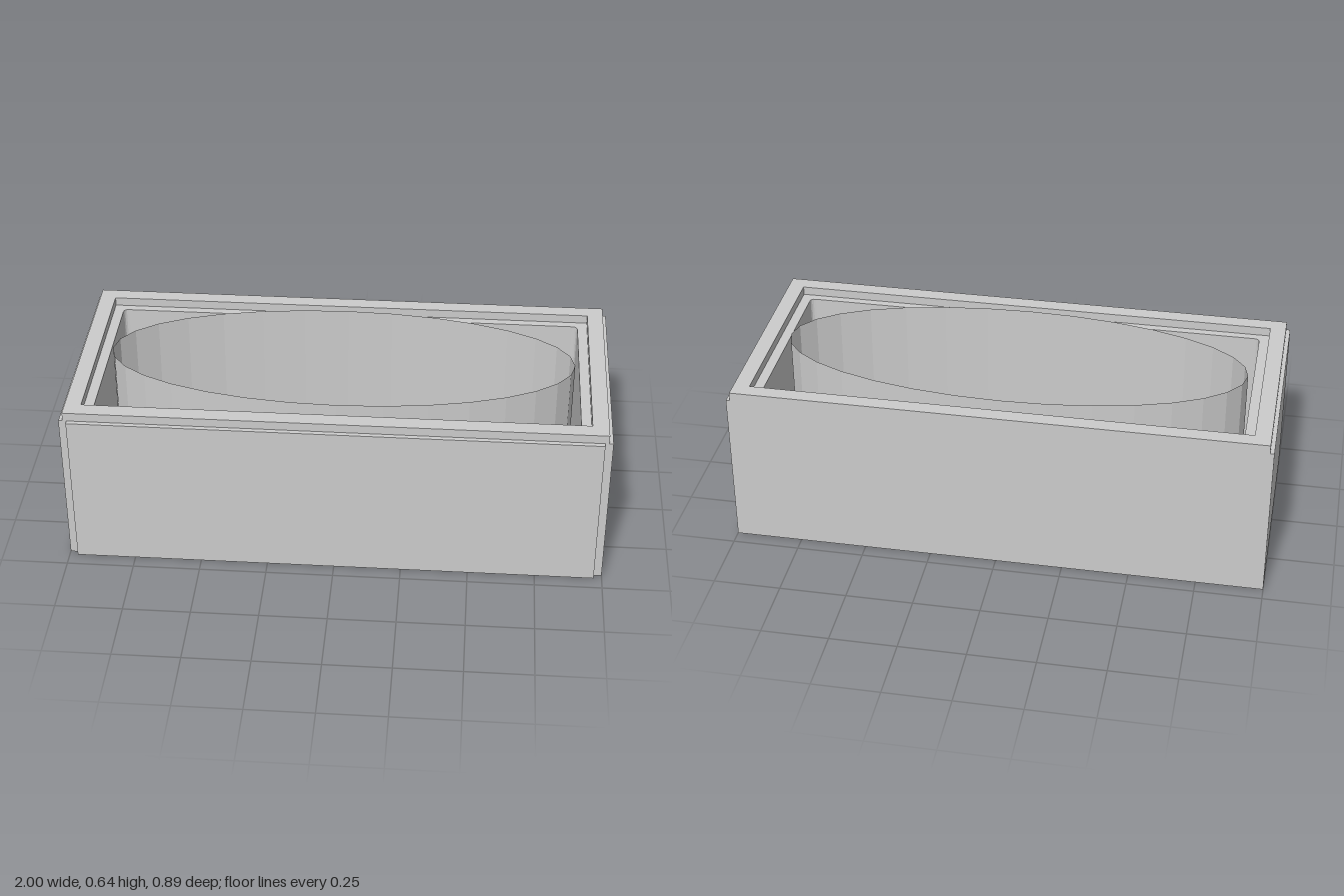
import * as THREE from 'three';

const material = new THREE.MeshStandardMaterial({ color: 0xcccccc, flatShading: true });
const thin = new THREE.MeshStandardMaterial({ color: 0xcccccc, flatShading: true, side: THREE.DoubleSide });
const CZ = -0.01; // centre of the recess and basin along z

// Rectangle outline with optional rounded corners (drawn in x and -z)
function rectangle(Type, halfX, halfZ, cz, r = 0) {
  const p = new Type();
  const x = halfX, a = -cz - halfZ, b = -cz + halfZ;
  p.moveTo(-x + r, a);
  p.lineTo(x - r, a);
  if (r) p.quadraticCurveTo(x, a, x, a + r);
  p.lineTo(x, b - r);
  if (r) p.quadraticCurveTo(x, b, x - r, b);
  p.lineTo(-x + r, b);
  if (r) p.quadraticCurveTo(-x, b, -x, b - r);
  p.lineTo(-x, a + r);
  if (r) p.quadraticCurveTo(-x, a, -x + r, a);
  return p;
}

export function createModel() {
  const group = new THREE.Group();
  const add = (name, geometry, mat = material) => {
    const mesh = new THREE.Mesh(geometry, mat);
    mesh.name = name;
    group.add(mesh);
    return mesh;
  };

  // Upright ring: outer rectangle with a rectangular hole
  const ring = (name, y0, y1, holeX, holeZ, r) => {
    const shape = rectangle(THREE.Shape, 0.985, 0.436, -0.009);
    shape.holes.push(rectangle(THREE.Path, holeX, holeZ, CZ, r));
    const g = new THREE.ExtrudeGeometry(shape, { depth: y1 - y0, bevelEnabled: false, curveSegments: 4 });
    add(name, g.rotateX(-Math.PI / 2).translate(0, y0, 0));
  };

  // Surround: floor, walls with an inner ledge, raised rim
  const box = (name, w, h, d, x, y, z) =>
    add(name, new THREE.BoxGeometry(w, h, d).translate(x, y, z));
  box('floor', 1.97, 0.05, 0.872, 0, 0.025, -0.009);
  ring('walls', 0.05, 0.6, 0.888, 0.346, 0.02);
  ring('rim', 0.6, 0.633, 0.925, 0.377, 0);

  // Cladding panels
  box('frontPanel', 1.94, 0.6, 0.018, 0, 0.3, 0.436);
  for (const s of [1, -1]) {
    box(s > 0 ? 'leftPanel' : 'rightPanel', 0.015, 0.6, 0.872, s * 0.9925, 0.3, -0.009);
  }

  // Elliptical basin wall, open at the top
  add('basinWall', new THREE.CylinderGeometry(1, 1, 0.593, 32, 1, true)
    .scale(0.87, 1, 0.327).translate(0, 0.3465, CZ), thin);

  // Flat oval bottom of the basin
  add('basinFloor', new THREE.CylinderGeometry(1, 1, 0.01, 32)
    .scale(0.77, 1, 0.228).translate(0, 0.055, CZ));

  return group;
}
